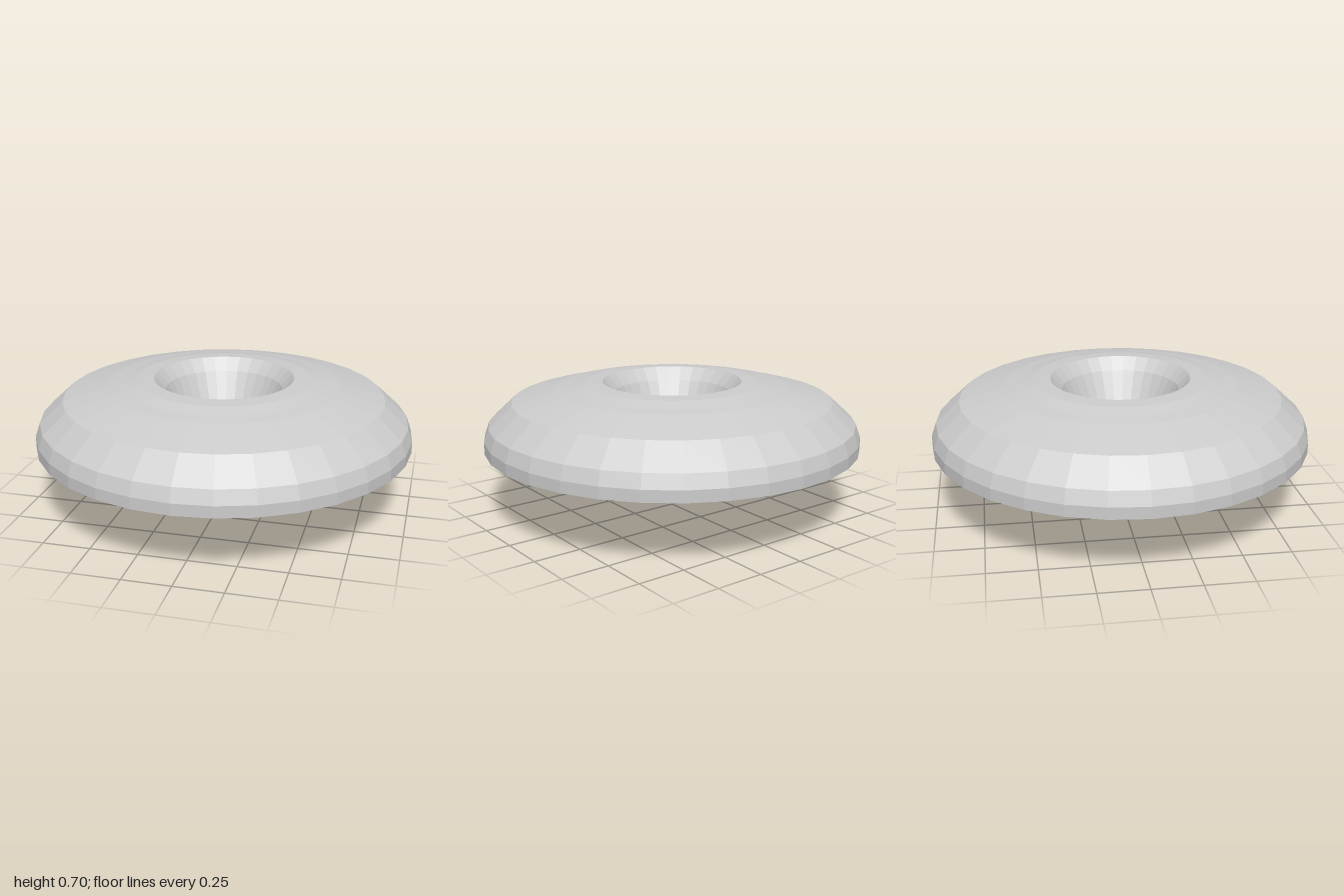
import * as THREE from 'three';

const SIDES = 32;

// Revolve a [radius, height] profile into a thin faceted shell
function revolve(name, profile, material) {
  const points = profile.map(([r, y]) => new THREE.Vector2(r, y));
  const mesh = new THREE.Mesh(new THREE.LatheGeometry(points, SIDES), material);
  mesh.name = name;
  return mesh;
}

export function createModel() {
  const material = new THREE.MeshStandardMaterial({
    color: 0xcccccc, flatShading: true, side: THREE.DoubleSide,
  });
  const model = new THREE.Group();
  model.name = 'domedFunnel';

  // Domed cap, open underneath, from the bottom rim up to the mouth
  model.add(revolve('cap', [
    [1, 0.36], [1, 0.42], [0.975, 0.49], [0.85, 0.605],
    [0.62, 0.665], [0.54, 0.677], [0.46, 0.695], [0.37, 0.7],
  ], material));

  // Hollow cone hanging from the mouth, with a bevelled lip
  model.add(revolve('funnel', [
    [0.37, 0.7], [0.31, 0.635], [0, 0],
  ], material));

  return model;
}
